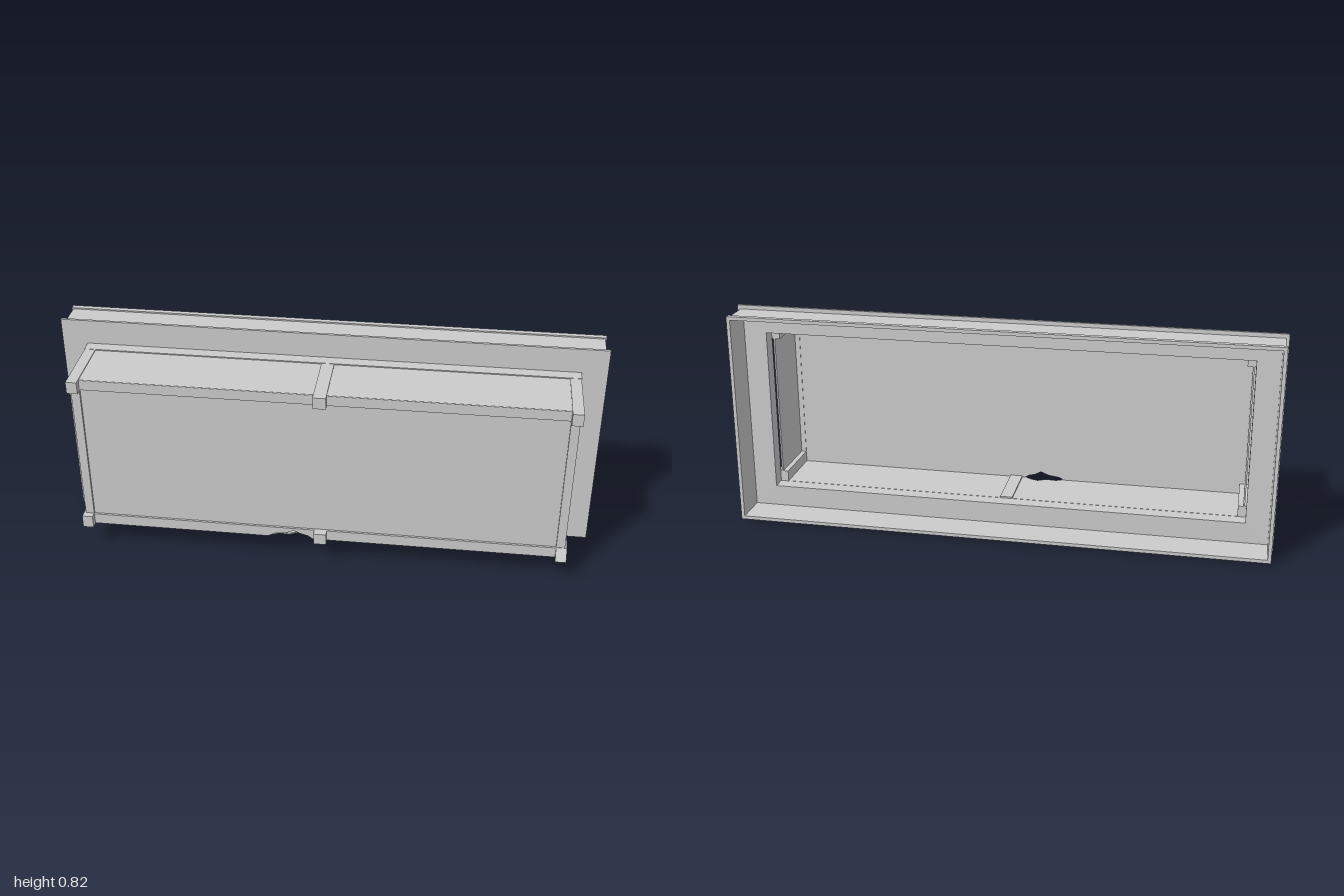
import * as THREE from 'three';

const mat = new THREE.MeshStandardMaterial({ color: 0xcccccc, flatShading: true, side: THREE.DoubleSide });
const MID = 0.41; // height of the centre line

export function createModel() {
  const root = new THREE.Group();

  const add = (name, geo) => {
    const m = new THREE.Mesh(geo, mat);
    m.name = name;
    root.add(m);
    return m;
  };

  // Box given by its limits on each axis
  const box = (name, x0, x1, y0, y1, z0, z1) => {
    const m = add(name, new THREE.BoxGeometry(x1 - x0, y1 - y0, z1 - z0));
    m.position.set((x0 + x1) / 2, (y0 + y1) / 2, (z0 + z1) / 2);
    return m;
  };

  const rectPoints = (w, h) => [[-w, -h], [w, -h], [w, h], [-w, h]].map(([x, y]) => new THREE.Vector2(x, y));

  // Rectangular ring: half sizes of the outside and the opening, depth limits
  const ring = (name, w, h, iw, ih, z0, z1) => {
    const s = new THREE.Shape(rectPoints(w, h));
    s.holes.push(new THREE.Path(rectPoints(iw, ih)));
    add(name, new THREE.ExtrudeGeometry(s, { depth: z1 - z0, bevelEnabled: false })).position.set(0, MID, z0);
  };

  const extrude = (name, pts, depth) => add(name, new THREE.ExtrudeGeometry(
    new THREE.Shape(pts.map(([x, y]) => new THREE.Vector2(x, y))), { depth, bevelEnabled: false }));

  // Rear frame: flange, rim wall, back lip and the collar of the case
  ring('flange', 1.0, 0.41, 0.895, 0.308, -0.088, -0.078);
  ring('rimWall', 0.988, 0.395, 0.98, 0.387, -0.197, -0.087);
  ring('rimLip', 0.993, 0.4, 0.98, 0.387, -0.215, -0.195);
  ring('collar', 0.907, 0.317, 0.895, 0.308, -0.079, -0.033);

  // Face panel and the upper bar
  box('facePanel', -0.87, 0.87, 0.135, 0.69, 0.177, 0.182);
  box('topBar', -0.87, 0.87, 0.683, 0.722, 0.177, 0.19);
  box('topPanel', -0.89, 0.89, 0.717, 0.723, -0.035, 0.188);

  // Lower bar with a chipped edge
  extrude('bottomBar', [
    [-0.87, 0.098], [-0.2, 0.098], [-0.17, 0.113], [-0.13, 0.118], [-0.1, 0.131],
    [-0.075, 0.118], [-0.05, 0.112], [-0.03, 0.098], [0.87, 0.098], [0.87, 0.14], [-0.87, 0.14],
  ], 0.013).position.z = 0.177;

  // Bottom panel, broken at the same spot; drawn as x, -z
  const bottom = extrude('bottomPanel', [
    [-0.89, -0.188], [-0.2, -0.188], [-0.16, -0.168], [-0.12, -0.172], [-0.09, -0.155],
    [-0.06, -0.165], [-0.03, -0.188], [0.89, -0.188], [0.89, 0.035], [-0.89, 0.035],
  ], 0.006);
  bottom.rotation.x = -Math.PI / 2;
  bottom.position.y = 0.097;

  // Side panels, corner posts and corner rails
  for (const s of [-1, 1]) {
    const side = (name, a, b, ...rest) => box(name, Math.min(s * a, s * b), Math.max(s * a, s * b), ...rest);
    side('sidePanel', 0.884, 0.89, 0.12, 0.7, -0.035, 0.182);
    side('cornerPost', 0.865, 0.897, 0.14, 0.685, 0.175, 0.191);
    side('topCornerRail', 0.865, 0.905, 0.68, 0.726, -0.035, 0.215);
    const rail = side('bottomCornerRail', 0.865, 0.905, 0.095, 0.144, -0.035, 0.215);
    if (s > 0) {
      // Knock off the upper front edge of the damaged rail
      const p = rail.geometry.attributes.position;
      for (let i = 0; i < p.count; i++) {
        if (p.getY(i) > 0 && p.getZ(i) > 0) {
          p.setZ(i, p.getZ(i) - 0.022);
        }
      }
      rail.geometry.computeVertexNormals();
    }
  }

  // Central rails across the top and bottom
  box('topCentreRail', -0.025, 0.022, 0.682, 0.726, 0.177, 0.215);
  box('topCentreStrip', -0.025, 0.022, 0.712, 0.726, -0.035, 0.18);
  box('bottomCentreRail', -0.025, 0.022, 0.095, 0.14, 0.177, 0.215);
  box('bottomCentreStrip', -0.025, 0.022, 0.095, 0.108, -0.035, 0.18);

  return root;
}
